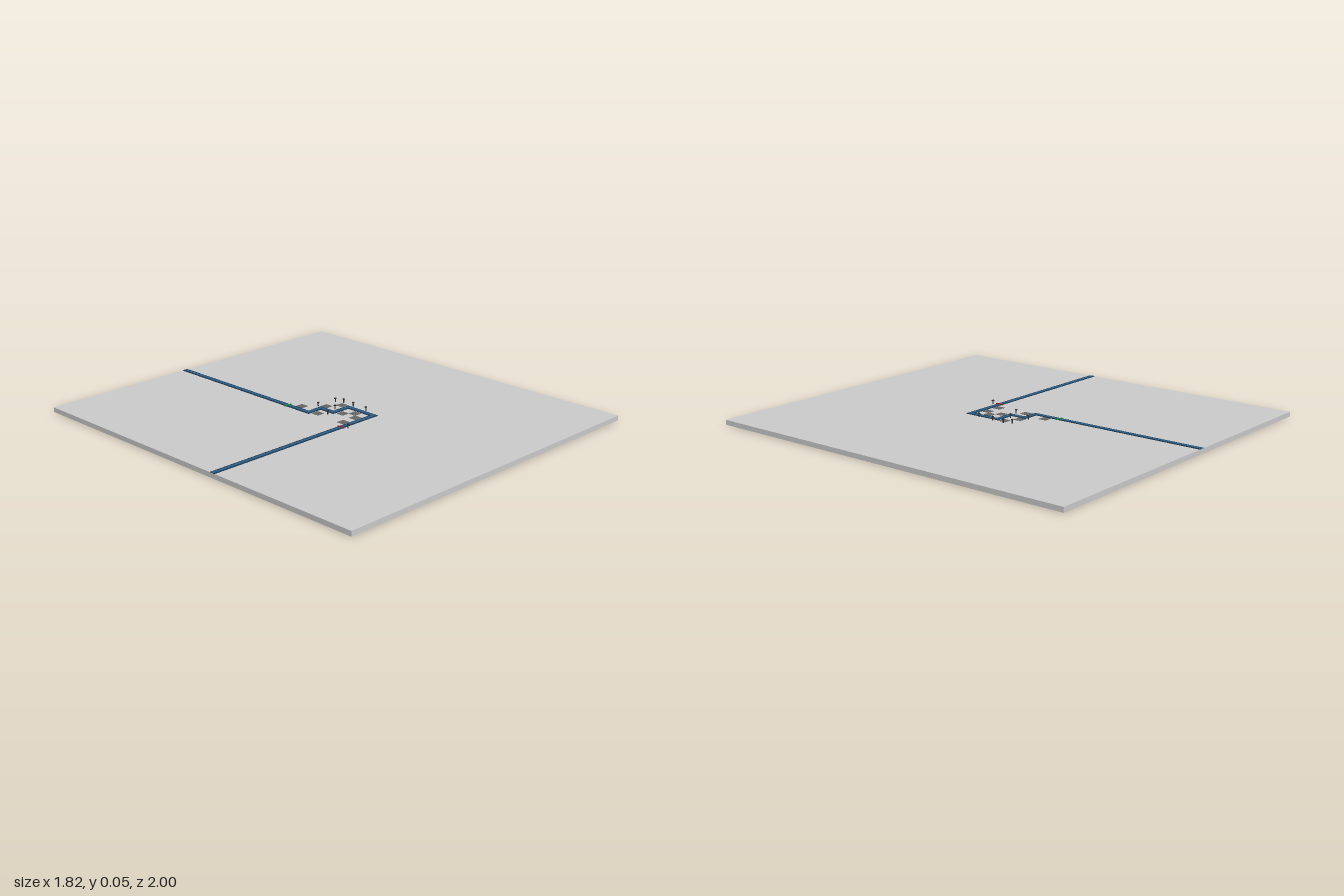
import * as THREE from 'three';

const TOP = 0.024; // upper face of the ground slab

const paint = (color) => new THREE.MeshStandardMaterial({ color });

function box(parent, name, material, [w, h, d], [x, y, z]) {
  const mesh = new THREE.Mesh(new THREE.BoxGeometry(w, h, d), material);
  mesh.name = name;
  mesh.position.set(x, y + h / 2, z);
  parent.add(mesh);
  return mesh;
}

// Flat ribbon of boxes along an axis-aligned polyline of [x, z] corners
function ribbon(name, corners, width, height, material) {
  const group = new THREE.Group();
  group.name = name;
  for (let i = 1; i < corners.length; i++) {
    const [x0, z0] = corners[i - 1], [x1, z1] = corners[i];
    // overlap inner corners by half a width, but stop flush at the slab edges
    const alongX = z0 === z1;
    const dir = Math.sign(alongX ? x1 - x0 : z1 - z0);
    const a = (alongX ? x0 : z0) - (i > 1 ? dir * width / 2 : 0);
    const b = (alongX ? x1 : z1) + (i < corners.length - 1 ? dir * width / 2 : 0);
    const length = Math.abs(b - a), mid = (a + b) / 2;
    box(group, name + 'Section', material,
      alongX ? [length, height, width] : [width, height, length],
      alongX ? [mid, TOP, z0] : [x0, TOP, mid]);
  }
  return group;
}

export function createModel() {
  const model = new THREE.Group();
  const grey = paint(0xcccccc);
  const dark = paint(0x666666);
  const black = paint(0x333333);

  // Ground slab
  box(model, 'ground', grey, [1.82, TOP, 2], [0, 0, 0]);

  // Winding road: dark borders with a lighter centre lane
  const route = [[-0.095, -1], [-0.095, -0.075], [-0.012, -0.075], [-0.012, 0.01],
    [0.09, 0.01], [0.09, 0.178], [-0.91, 0.178]];
  model.add(ribbon('roadBorder', route, 0.03, 0.002, paint(0x1c3850)));
  model.add(ribbon('roadLane', route, 0.014, 0.0028, paint(0x2c5f8a)));

  // Start and finish bars across the road
  box(model, 'startBar', paint(0x00aa00), [0.042, 0.004, 0.005], [-0.095, TOP, -0.217]);
  box(model, 'finishBar', paint(0xcc0000), [0.005, 0.004, 0.042], [-0.13, TOP, 0.178]);

  // Square building plots beside the road
  const plots = [[-0.055, -0.16], [0.027, -0.075], [-0.074, -0.032], [0.09, -0.032],
    [0.008, 0.053], [0.048, 0.095], [-0.074, 0.137], [0.008, 0.137]];
  for (const [x, z] of plots) box(model, 'plot', dark, [0.041, 0.0015, 0.041], [x, TOP, z]);

  // Small posts with a wider head
  const posts = [[0, -0.105], [0.103, -0.09], [0.124, -0.053], [0.03, -0.02],
    [-0.05, 0.01], [0.119, 0.016], [0.116, 0.103], [-0.116, 0.21]];
  for (const [x, z] of posts) {
    const post = new THREE.Group();
    post.name = 'post';
    post.position.set(x, TOP, z);
    box(post, 'postStem', black, [0.004, 0.017, 0.004], [0, 0, 0]);
    box(post, 'postHead', black, [0.009, 0.005, 0.009], [0, 0.016, 0]);
    model.add(post);
  }
  return model;
}
